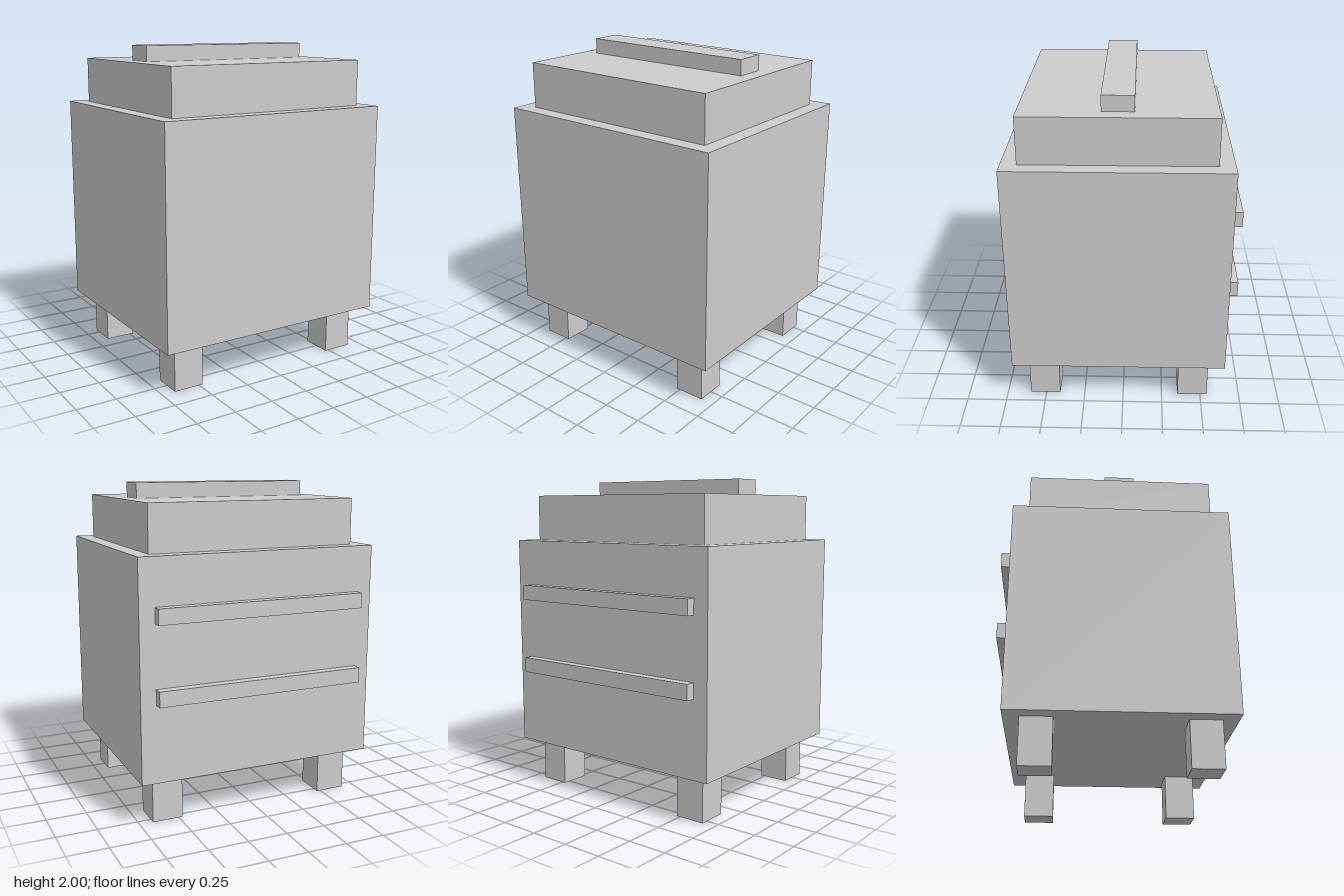
import * as THREE from 'three';

const U = 2 / 21; // one grid unit of the blocky design
const CZ = 0.3 * U; // body centre, shifted forward to balance the rear rails

export function createModel() {
  const model = new THREE.Group();
  const material = new THREE.MeshStandardMaterial({ color: 0xcccccc, flatShading: true });

  // Box in grid units: size, then centre x, bottom y and centre z relative to the body
  function addBox(name, [w, h, d], [x, y, z]) {
    const mesh = new THREE.Mesh(new THREE.BoxGeometry(w * U, h * U, d * U), material);
    mesh.name = name;
    mesh.position.set(x * U, (y + h / 2) * U, z * U + CZ);
    model.add(mesh);
  }

  // Main box, stepped lid and top handle
  addBox('body', [16, 14, 14], [0, 3, 0]);
  addBox('lid', [14, 3, 12], [0, 17, 0]);
  addBox('handle', [12, 1, 2], [0, 20, 0]);

  // Four square legs
  for (const [side, x] of [['Left', 6], ['Right', -6]]) {
    addBox('front' + side + 'Leg', [2, 3, 2], [x, 0, 5]);
    addBox('back' + side + 'Leg', [2, 3, 2], [x, 0, -5]);
  }

  // Two horizontal rails on the back
  addBox('upperBackRail', [14, 1, 0.6], [0, 13, -7.3]);
  addBox('lowerBackRail', [14, 1, 0.6], [0, 8, -7.3]);

  return model;
}
